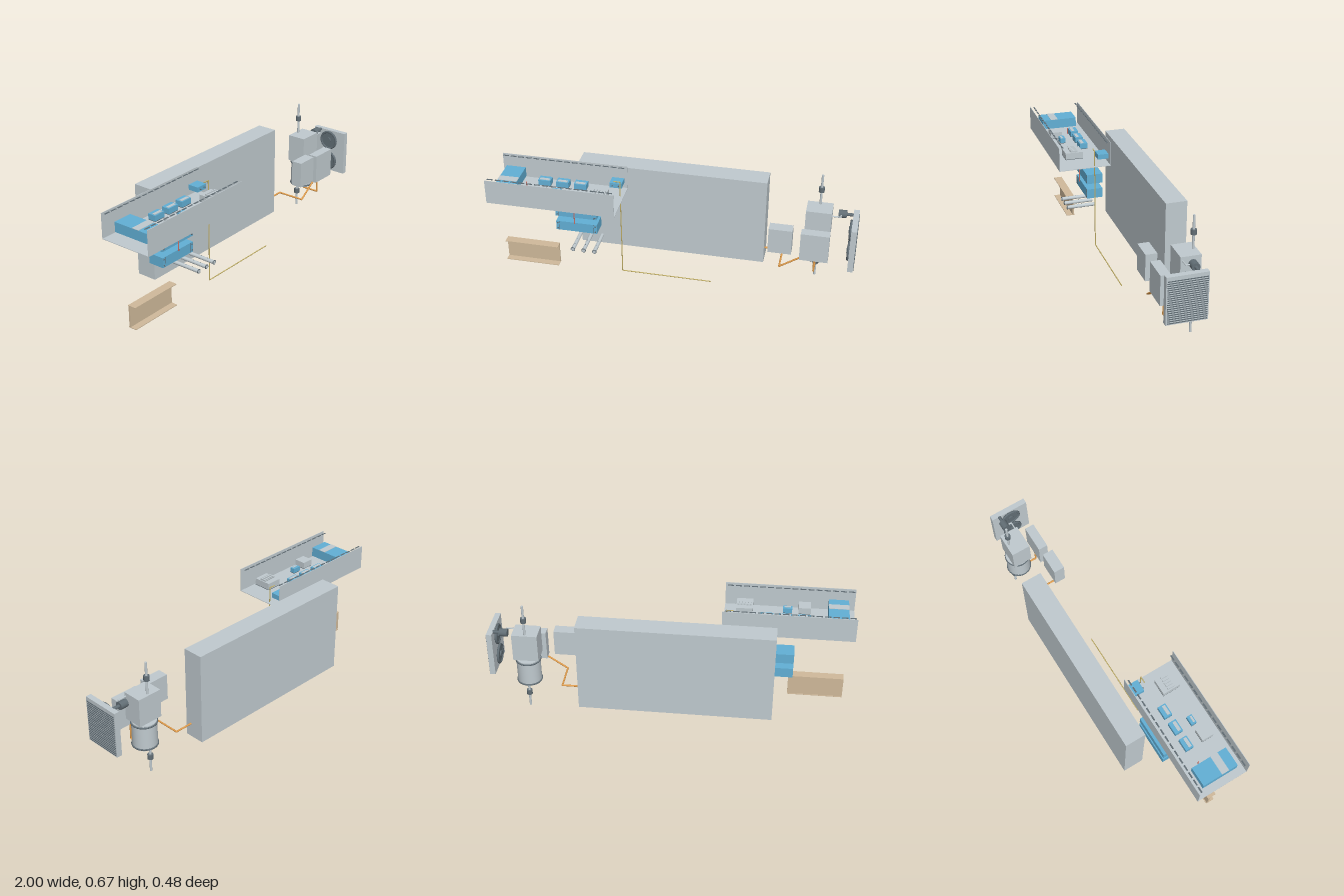
import * as THREE from 'three';

const mat = (name, color) => {
  const m = new THREE.MeshStandardMaterial({ color });
  m.name = name;
  return m;
};

export function createModel() {
  const root = new THREE.Group();
  root.name = 'equipmentLayout';
  const grey = mat('casingGrey', 0xc0cacf);
  const blue = mat('moduleBlue', 0x62b0d6);
  const dark = mat('darkSteel', 0x626e75);
  const tan = mat('beamTan', 0xd0ba9b);
  const copper = mat('copper', 0xe09c4c);
  const red = mat('redCable', 0xcc7065);
  const yellow = mat('yellowCable', 0xc2b068);

  const add = (parent, name, geometry, material) => {
    const mesh = new THREE.Mesh(geometry, material);
    mesh.name = name;
    parent.add(mesh);
    return mesh;
  };
  const group = (name) => {
    const g = new THREE.Group();
    g.name = name;
    root.add(g);
    return g;
  };
  // Box from its minimum and maximum along each axis
  const box = (parent, name, material, x0, x1, y0, y1, z0, z1) => {
    const mesh = add(parent, name, new THREE.BoxGeometry(x1 - x0, y1 - y0, z1 - z0), material);
    mesh.position.set((x0 + x1) / 2, (y0 + y1) / 2, (z0 + z1) / 2);
    return mesh;
  };
  // Cylinder along a chosen axis
  const cyl = (parent, name, material, r, length, axis, x, y, z, sides = 24) => {
    const mesh = add(parent, name, new THREE.CylinderGeometry(r, r, length, sides), material);
    if (axis === 'x') mesh.rotation.z = -Math.PI / 2;
    if (axis === 'z') mesh.rotation.x = Math.PI / 2;
    mesh.position.set(x, y, z);
    return mesh;
  };
  // Pipe run: straight cylinders with a ball at every bend
  const pipe = (parent, name, material, r, points) => {
    const g = new THREE.Group();
    g.name = name;
    parent.add(g);
    const pts = points.map((p) => new THREE.Vector3(...p));
    for (let i = 1; i < pts.length; i++) {
      const dir = pts[i].clone().sub(pts[i - 1]);
      const seg = add(g, 'pipeRun', new THREE.CylinderGeometry(r, r, dir.length(), 12), material);
      seg.position.copy(pts[i]).add(pts[i - 1]).multiplyScalar(0.5);
      seg.quaternion.setFromUnitVectors(new THREE.Vector3(0, 1, 0), dir.normalize());
      if (i < pts.length - 1) add(g, 'bend', new THREE.SphereGeometry(r, 12, 8), material).position.copy(pts[i]);
    }
  };

  // Large battery panel
  box(root, 'mainPanel', grey, -0.58, 0.488, 0.075, 0.604, -0.238, -0.121);

  // Open control tray with a row of small tabs along each wall
  const tray = group('controlTray');
  box(tray, 'trayFloor', grey, -1, -0.282, 0.507, 0.51, -0.065, 0.239);
  for (const [z0, z1] of [[-0.065, -0.062], [0.236, 0.239]]) {
    box(tray, 'trayWall', grey, -1, -0.282, 0.507, 0.648, z0, z1);
  }
  for (const z of [-0.047, 0.215]) {
    for (let i = 0; i < 16; i++) {
      const x = -0.992 + i * 0.0443;
      box(tray, 'wallTab', dark, x, x + 0.033, 0.643, 0.645, z - 0.004, z + 0.004);
    }
  }

  // Modules inside the tray: material, x range, z range, top, inset of the base plate
  const modules = [
    [blue, -0.962, -0.852, -0.013, 0.195, 0.602, 0.01],
    [blue, -0.757, -0.688, 0.017, 0.063, 0.578, 0],
    [blue, -0.655, -0.585, 0.017, 0.063, 0.578, 0],
    [blue, -0.553, -0.484, 0.017, 0.063, 0.578, 0],
    [blue, -0.655, -0.605, 0.118, 0.148, 0.574, 0],
    [blue, -0.366, -0.298, -0.054, 0.008, 0.576, 0.015],
    [grey, -0.757, -0.69, 0.118, 0.184, 0.583, 0],
    [grey, -0.44, -0.35, 0.082, 0.184, 0.584, 0],
  ];
  for (const [m, x0, x1, z0, z1, top, inset] of modules) {
    box(tray, 'trayModule', m, x0, x1, 0.547, top, z0, z1);
    box(tray, 'moduleBase', dark, x0 + inset, x1 - inset, 0.544, 0.547, z0 + inset, z1 - inset);
  }
  box(tray, 'powerModuleLabel', grey, -0.962, -0.852, 0.602, 0.604, 0.1, 0.143);
  for (const x of [-0.75, -0.648, -0.546]) {
    box(tray, 'moduleLabel', grey, x, x + 0.055, 0.578, 0.58, 0.038, 0.056);
  }
  box(tray, 'smallModuleLabel', grey, -0.648, -0.612, 0.574, 0.576, 0.132, 0.143);
  for (let i = 0; i < 5; i++) {
    const x = -0.432 + i * 0.0165;
    box(tray, 'terminalFin', grey, x, x + 0.01, 0.584, 0.594, 0.113, 0.153);
  }
  for (const x of [-0.35, -0.315]) cyl(tray, 'moduleStud', dark, 0.003, 0.01, 'z', x, 0.562, 0.012, 12);

  // Two driver boxes with corner screws
  const drivers = group('driverBoxes');
  for (const [y0, y1] of [[0.334, 0.392], [0.241, 0.299]]) {
    box(drivers, 'driverBox', blue, -0.681, -0.443, y0, y1, -0.06, 0.034);
    for (const x of [-0.662, -0.462]) {
      box(drivers, 'flangeSeam', dark, x - 0.001, x + 0.001, y0, y1, 0.034, 0.035);
      for (const y of [y0 + 0.012, y1 - 0.012]) {
        cyl(drivers, 'screw', dark, 0.004, 0.004, 'z', x + Math.sign(x + 0.56) * 0.01, y, 0.035, 10);
      }
    }
  }

  // Three sensor rods with end caps and small studs
  const rods = group('sensorRods');
  for (const x of [-0.549, -0.487, -0.425]) {
    cyl(rods, 'rod', grey, 0.0105, 0.17, 'z', x, 0.21, 0.078);
    cyl(rods, 'rodCap', dark, 0.0125, 0.003, 'z', x, 0.21, 0.163);
    cyl(rods, 'rodCore', grey, 0.009, 0.002, 'z', x, 0.21, 0.165);
    for (const z of [0.075, 0.12]) cyl(rods, 'rodStud', dark, 0.002, 0.025, 'y', x, 0.21, z, 8);
  }

  // Channel beam
  const beam = group('channelBeam');
  box(beam, 'beamWeb', tan, -0.97, -0.66, 0.039, 0.164, 0.06, 0.069);
  for (const y of [0.038, 0.161]) box(beam, 'beamFlange', tan, -0.97, -0.66, y, y + 0.004, 0.056, 0.105);

  // Cables
  pipe(root, 'redCable', red, 0.003,
    [[-0.833, 0.546, 0.045], [-0.833, 0.474, 0.045], [-0.569, 0.474, 0.045], [-0.569, 0.3, 0.045]]);
  pipe(root, 'yellowCable', yellow, 0.003,
    [[-0.338, 0.6, 0.027], [-0.302, 0.6, 0.027], [-0.302, 0.003, 0.027], [0.213, 0.003, 0.027]]);

  // Heat unit: valve box, pump box, tank and tank head
  const unit = group('heatUnit');
  box(unit, 'valveBox', grey, 0.526, 0.655, 0.268, 0.419, -0.02, 0.043);
  box(unit, 'pumpBox', grey, 0.7, 0.856, 0.234, 0.404, -0.02, 0.034);
  box(unit, 'tankHead', grey, 0.711, 0.852, 0.326, 0.487, -0.179, -0.069);
  cyl(unit, 'tank', grey, 0.067, 0.153, 'y', 0.781, 0.2385, -0.125, 32);
  for (const y of [0.17, 0.304]) {
    const ring = add(unit, 'tankRing', new THREE.TorusGeometry(0.067, 0.005, 10, 36), dark);
    ring.rotation.x = Math.PI / 2;
    ring.position.set(0.781, y, -0.125);
  }

  // Upright supply pipes with couplings
  for (const [y0, y1, c] of [[0.487, 0.671, 0.58], [0.008, 0.162, 0.1]]) {
    cyl(unit, 'supplyPipe', grey, 0.0065, y1 - y0, 'y', 0.781, (y0 + y1) / 2, -0.161, 16);
    cyl(unit, 'coupling', dark, 0.016, 0.028, 'y', 0.781, c, -0.161);
  }

  // Copper lines
  pipe(unit, 'panelLine', copper, 0.005,
    [[0.48, 0.155, -0.155], [0.592, 0.155, -0.155], [0.592, 0.155, 0.008], [0.71, 0.236, 0.008]]);
  pipe(unit, 'tankLine', copper, 0.005,
    [[0.781, 0.238, -0.012], [0.781, 0.137, -0.012], [0.781, 0.137, -0.113]]);

  // Radiator with slats on the outer face and two fans on the inner face
  const radiator = group('radiator');
  box(radiator, 'radiatorBody', grey, 0.966, 0.997, 0.208, 0.471, -0.165, 0.055);
  for (let i = 0; i < 21; i++) {
    const y = 0.217 + i * 0.0115;
    box(radiator, 'slat', dark, 0.997, 1, y - 0.0022, y + 0.0022, -0.159, 0.048);
  }
  for (const y of [0.408, 0.275]) {
    cyl(radiator, 'fanDisc', dark, 0.052, 0.008, 'x', 0.962, y, -0.055, 32);
    const rim = add(radiator, 'fanRim', new THREE.TorusGeometry(0.052, 0.007, 10, 32), dark);
    rim.rotation.y = Math.PI / 2;
    rim.position.set(0.96, y, -0.055);
    cyl(radiator, 'fanHub', dark, 0.018, 0.014, 'x', 0.957, y, -0.055);
  }

  // Circulation motor between tank head and radiator
  cyl(radiator, 'motor', dark, 0.022, 0.045, 'x', 0.908, 0.465, -0.12);
  cyl(radiator, 'motorNeck', dark, 0.009, 0.04, 'x', 0.948, 0.465, -0.12, 16);
  pipe(radiator, 'motorLine', grey, 0.004,
    [[0.84, 0.467, -0.08], [0.9, 0.467, -0.08], [0.9, 0.467, -0.11]]);

  return root;
}
